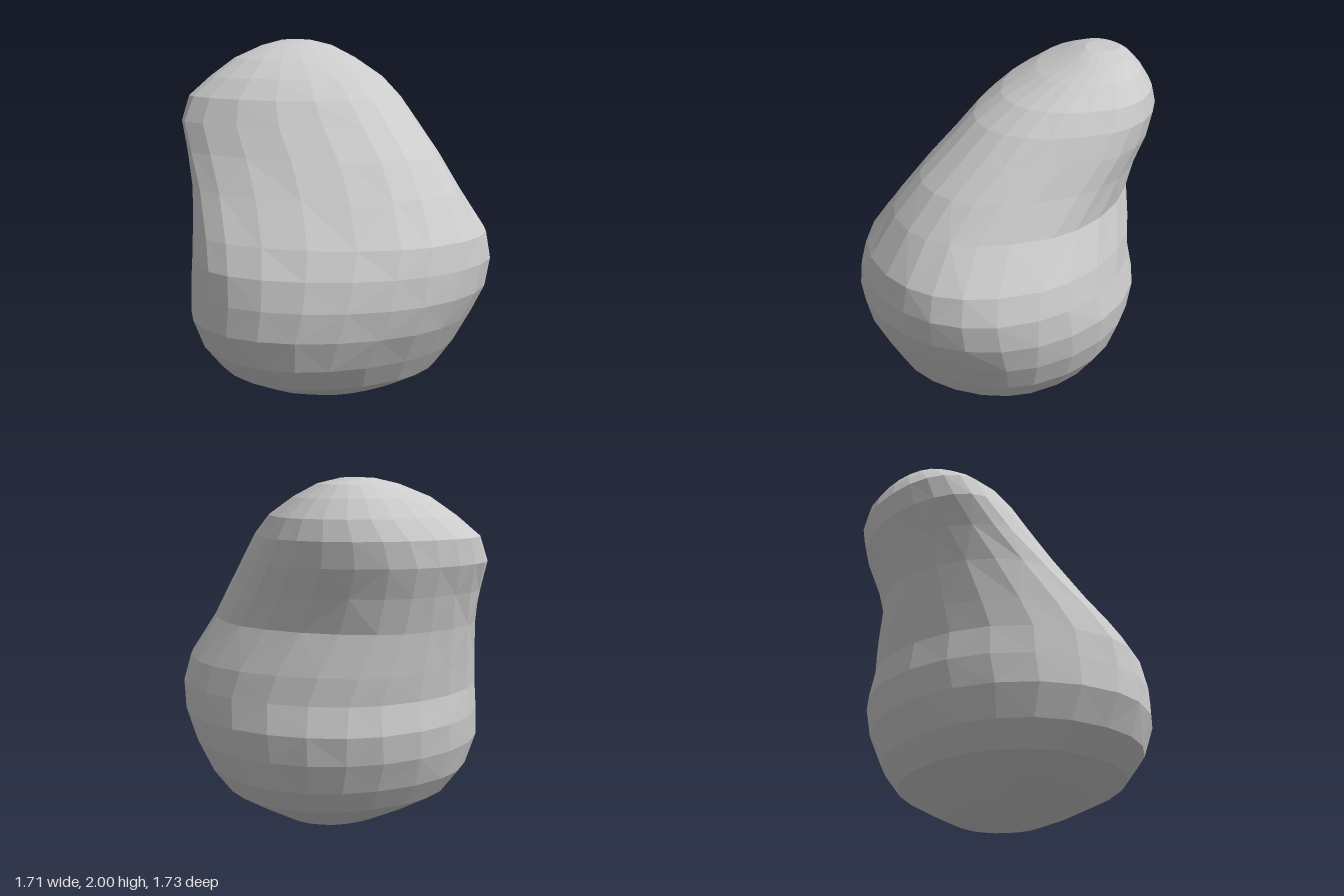
import * as THREE from 'three';

const SEGMENTS = 24;

// Cross-sections, bottom to top: y, lowest x, highest x, back z, front z, z of the widest point,
// skew (pulls the section out along the +x+z diagonal and in along the other)
const SECTIONS = [
  [0.00, -0.10, 0.12, -0.06, 0.14, 0.05, 0],
  [0.04, -0.27, 0.33, -0.25, 0.32, 0.05, 0],
  [0.11, -0.48, 0.47, -0.38, 0.48, 0.08, 0],
  [0.20, -0.67, 0.63, -0.53, 0.65, 0.10, 0],
  [0.33, -0.78, 0.73, -0.62, 0.73, 0.12, 0],
  [0.50, -0.86, 0.81, -0.70, 0.82, 0.14, 0],
  [0.66, -0.85, 0.85, -0.735, 0.865, 0.15, 0],
  [0.82, -0.835, 0.85, -0.71, 0.865, 0.14, 0.01],
  [0.97, -0.79, 0.81, -0.73, 0.84, 0.07, 0.05],
  [1.20, -0.71, 0.68, -0.75, 0.70, -0.10, 0.10],
  [1.39, -0.66, 0.63, -0.80, 0.55, -0.28, 0.12],
  [1.55, -0.63, 0.60, -0.855, 0.38, -0.42, 0.12],
  [1.69, -0.56, 0.57, -0.86, 0.23, -0.47, 0.09],
  [1.80, -0.43, 0.52, -0.81, 0.07, -0.48, 0.06],
  [1.90, -0.28, 0.42, -0.74, -0.14, -0.50, 0.04],
  [1.97, -0.10, 0.32, -0.67, -0.33, -0.52, 0.02],
  [2.00, 0.03, 0.20, -0.62, -0.42, -0.52, 0],
];

// Roundness of the four quadrants by height (2 is an ellipse, more is fuller, less is cut away):
// y, front +x, front -x, back +x, back -x
const ROUNDNESS = [
  [0.00, 1.80, 2.30, 2.05, 2.15],
  [0.33, 1.85, 2.25, 2.12, 2.15],
  [0.50, 1.90, 1.92, 2.02, 2.00],
  [0.82, 2.35, 1.68, 1.75, 2.05],
  [1.20, 2.50, 1.56, 1.65, 1.95],
  [1.50, 2.45, 1.55, 1.75, 1.78],
  [1.70, 2.35, 1.58, 1.85, 2.25],
  [2.00, 2.10, 1.80, 2.00, 2.20],
];

function roundness(y, quadrant) {
  const i = Math.max(1, ROUNDNESS.findIndex((row) => row[0] >= y));
  const lower = ROUNDNESS[i - 1];
  const upper = ROUNDNESS[i];
  const t = (y - lower[0]) / (upper[0] - lower[0]);
  return THREE.MathUtils.lerp(lower[quadrant], upper[quadrant], t);
}

function boulderGeometry() {
  const positions = [];
  const indices = [];

  for (const [y, x0, x1, back, front, zWide, skew] of SECTIONS) {
    const xMid = (x0 + x1) / 2 + 0.06 * Math.min(1, x1 - x0);
    for (let i = 0; i < SEGMENTS; i++) {
      const angle = (i / SEGMENTS) * Math.PI * 2;
      const c = Math.cos(angle);
      const s = Math.sin(angle);
      const power = 2 / roundness(y, (s > 0 ? 1 : 3) + (c > 0 ? 0 : 1));
      // Each quadrant is an arc about its own centre
      const cx = xMid + (s > 0 ? skew : -skew);
      const cz = zWide + (c > 0 ? skew : -skew);
      const x = cx + Math.abs(c) ** power * ((c > 0 ? x1 : x0) - cx);
      const z = cz + Math.abs(s) ** power * ((s > 0 ? front : back) - cz);
      positions.push(x, y, z);
    }
  }

  // Sides, with alternating diagonals for an irregular chiselled look
  for (let r = 0; r < SECTIONS.length - 1; r++) {
    for (let i = 0; i < SEGMENTS; i++) {
      const a = r * SEGMENTS + i;
      const b = r * SEGMENTS + ((i + 1) % SEGMENTS);
      const c = a + SEGMENTS;
      const d = b + SEGMENTS;
      if ((r + i) % 2) indices.push(a, c, b, b, c, d);
      else indices.push(a, c, d, a, d, b);
    }
  }

  // Bottom and top caps
  const top = (SECTIONS.length - 1) * SEGMENTS;
  for (let i = 1; i < SEGMENTS - 1; i++) {
    indices.push(0, i, i + 1);
    indices.push(top, top + i + 1, top + i);
  }

  const geometry = new THREE.BufferGeometry();
  geometry.setAttribute('position', new THREE.Float32BufferAttribute(positions, 3));
  geometry.setIndex(indices);
  geometry.computeVertexNormals();
  return geometry;
}

export function createModel() {
  const model = new THREE.Group();
  model.name = 'rock';
  const material = new THREE.MeshStandardMaterial({ color: 0xcccccc, flatShading: true });
  const boulder = new THREE.Mesh(boulderGeometry(), material);
  boulder.name = 'boulder';
  model.add(boulder);
  return model;
}
